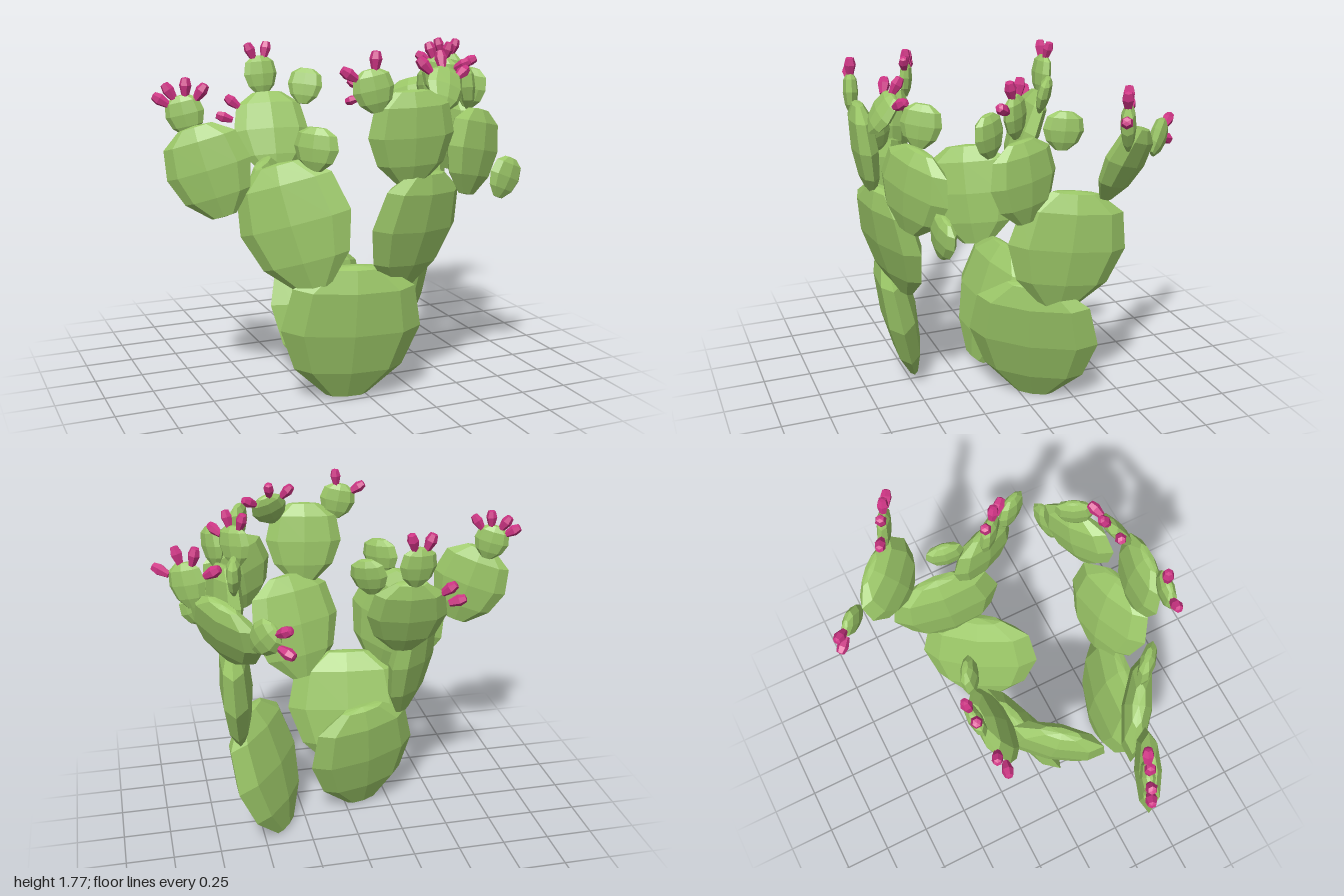
import * as THREE from 'three';

const green = new THREE.MeshStandardMaterial({ color: 0x9cc868 });
green.name = 'cactusGreen';
const magenta = new THREE.MeshStandardMaterial({ color: 0xcd3484 });
magenta.name = 'fruitMagenta';

const vec = (x, y, z) => new THREE.Vector3(x, y, z);

// Low-poly body, one unit tall and wide, with flat facets
function facetedBody(radii, heights, sides) {
  const points = radii.map((r, i) => new THREE.Vector2(r, heights[i]));
  const geometry = new THREE.LatheGeometry(points, sides).toNonIndexed();
  geometry.computeVertexNormals();
  return geometry;
}

const padBody = facetedBody(
  [0, 0.15, 0.39, 0.5, 0.43, 0.2, 0], [0, 0.01, 0.23, 0.53, 0.84, 0.985, 1], 8);
const fruitBody = facetedBody([0, 0.28, 0.5, 0.34, 0], [0, 0, 0.58, 0.95, 1], 6);

// Adds one pad from base to tip; yaw turns its flat side about the vertical.
// Fruits sit on the rim at the given degrees from the tip.
function addPad(branch, name, base, tip, yaw, width, fruitAngles = []) {
  const axis = tip.clone().sub(base);
  const length = axis.length();
  axis.normalize();
  const turn = THREE.MathUtils.degToRad(yaw);
  const side = vec(Math.cos(turn), 0, Math.sin(turn));
  side.addScaledVector(axis, -side.dot(axis)).normalize();
  const face = vec(0, 0, 0).crossVectors(side, axis);

  const pad = new THREE.Mesh(padBody, green);
  pad.name = name;
  pad.position.copy(base);
  pad.quaternion.setFromRotationMatrix(new THREE.Matrix4().makeBasis(side, axis, face));
  pad.scale.set(width, length, 0.03 + 0.23 * width);
  branch.add(pad);

  const middle = base.clone().lerp(tip, 0.5);
  for (const degrees of fruitAngles) {
    const angle = THREE.MathUtils.degToRad(degrees);
    const outward = side.clone().multiplyScalar(Math.sin(angle))
      .addScaledVector(axis, Math.cos(angle));
    const fruit = new THREE.Mesh(fruitBody, magenta);
    fruit.name = 'fruit';
    fruit.position.copy(middle).addScaledVector(outward, length / 2 - 0.01);
    fruit.quaternion.setFromUnitVectors(vec(0, 1, 0), outward);
    fruit.scale.set(0.06, 0.092, 0.06);
    branch.add(fruit);
  }
}

function makeBranch(name) {
  const branch = new THREE.Group();
  branch.name = name;
  return branch;
}

// Front branch: fans out to both sides from one wide base pad
function frontBranch() {
  const b = makeBranch('frontBranch');
  addPad(b, 'basePad', vec(-0.11, 0.02, 0.45), vec(-0.12, 0.74, 0.59), 11, 0.71);
  addPad(b, 'rightPad', vec(-0.32, 0.63, 0.55), vec(-0.46, 1.24, 0.43), 35, 0.57);
  addPad(b, 'rightBud', vec(-0.32, 1.21, 0.55), vec(-0.3, 1.42, 0.55), 45, 0.23);
  addPad(b, 'rightUpperPad', vec(-0.7, 0.98, 0.34), vec(-0.82, 1.42, 0.28), 25, 0.42);
  addPad(b, 'rightTopPad', vec(-0.83, 1.37, 0.24), vec(-0.87, 1.56, 0.22), 24, 0.19,
    [-45, -20, 15, 48]);
  addPad(b, 'middlePad', vec(0.13, 0.6, 0.56), vec(0.21, 1.2, 0.69), -16, 0.55);
  addPad(b, 'middleUpperPad', vec(0.11, 1.14, 0.7), vec(0.09, 1.6, 0.75), 5, 0.43);
  addPad(b, 'middleTopPadLeft', vec(0.26, 1.5, 0.74), vec(0.33, 1.68, 0.63), -11, 0.2,
    [-58, -14, 37]);
  addPad(b, 'middleTopPadRight', vec(-0.08, 1.5, 0.74), vec(-0.12, 1.7, 0.73), 9, 0.2,
    [-45, 15]);
  addPad(b, 'leftUpperPad', vec(0.46, 1.05, 0.62), vec(0.54, 1.47, 0.58), -27, 0.45);
  addPad(b, 'leftTopPad', vec(0.49, 1.46, 0.57), vec(0.49, 1.67, 0.54), -60, 0.2);
  addPad(b, 'leftBud', vec(0.69, 1, 0.54), vec(0.77, 1.2, 0.53), -11, 0.21);
  return b;
}

// Left branch: one edge-on column that splits to the front and the back
function leftBranch() {
  const b = makeBranch('leftBranch');
  addPad(b, 'basePad', vec(0.37, 0.01, -0.07), vec(0.54, 0.72, 0.01), -56, 0.67);
  addPad(b, 'middlePad', vec(0.6, 0.6, -0.1), vec(0.63, 1.21, -0.17), -82, 0.6);
  addPad(b, 'middleBud', vec(0.6, 1.41, -0.1), vec(0.6, 1.6, -0.12), -79, 0.2);
  addPad(b, 'frontUpperPad', vec(0.63, 1.08, 0.08), vec(0.63, 1.49, 0.12), 72, 0.4);
  addPad(b, 'frontTopPad', vec(0.56, 1.48, 0.11), vec(0.57, 1.69, 0.13), 47, 0.2,
    [-26, 12, 58]);
  addPad(b, 'frontBud', vec(0.65, 1.43, 0.27), vec(0.67, 1.64, 0.3), 63, 0.19);
  addPad(b, 'backUpperPad', vec(0.66, 1.16, -0.31), vec(0.7, 1.51, -0.48), 54, 0.45);
  addPad(b, 'backTopPad', vec(0.82, 1.45, -0.34), vec(0.86, 1.67, -0.31), 30, 0.19,
    [-72, -27, 6, 54]);
  addPad(b, 'backSidePad', vec(0.58, 1.33, -0.6), vec(0.49, 1.47, -0.71), 49, 0.17,
    [-18, -61]);
  return b;
}

// Back branch: a single stack leaning to the back
function backBranch() {
  const b = makeBranch('backBranch');
  addPad(b, 'basePad', vec(-0.1, 0.02, 0.09), vec(-0.06, 0.7, -0.08), -14, 0.61);
  addPad(b, 'middlePad', vec(-0.3, 0.62, 0), vec(-0.4, 1.18, 0.03), -52, 0.55);
  addPad(b, 'upperPad', vec(-0.25, 1.06, -0.17), vec(-0.24, 1.49, -0.34), 6, 0.41,
    [-47, -68]);
  addPad(b, 'topPad', vec(-0.26, 1.47, -0.35), vec(-0.27, 1.68, -0.38), -3, 0.19,
    [-19, 17]);
  addPad(b, 'topBud', vec(-0.06, 1.42, -0.27), vec(-0.02, 1.61, -0.3), 30, 0.19);
  return b;
}

export function createModel() {
  const model = new THREE.Group();
  model.name = 'pricklyPear';
  model.add(frontBranch(), leftBranch(), backBranch());
  return model;
}
